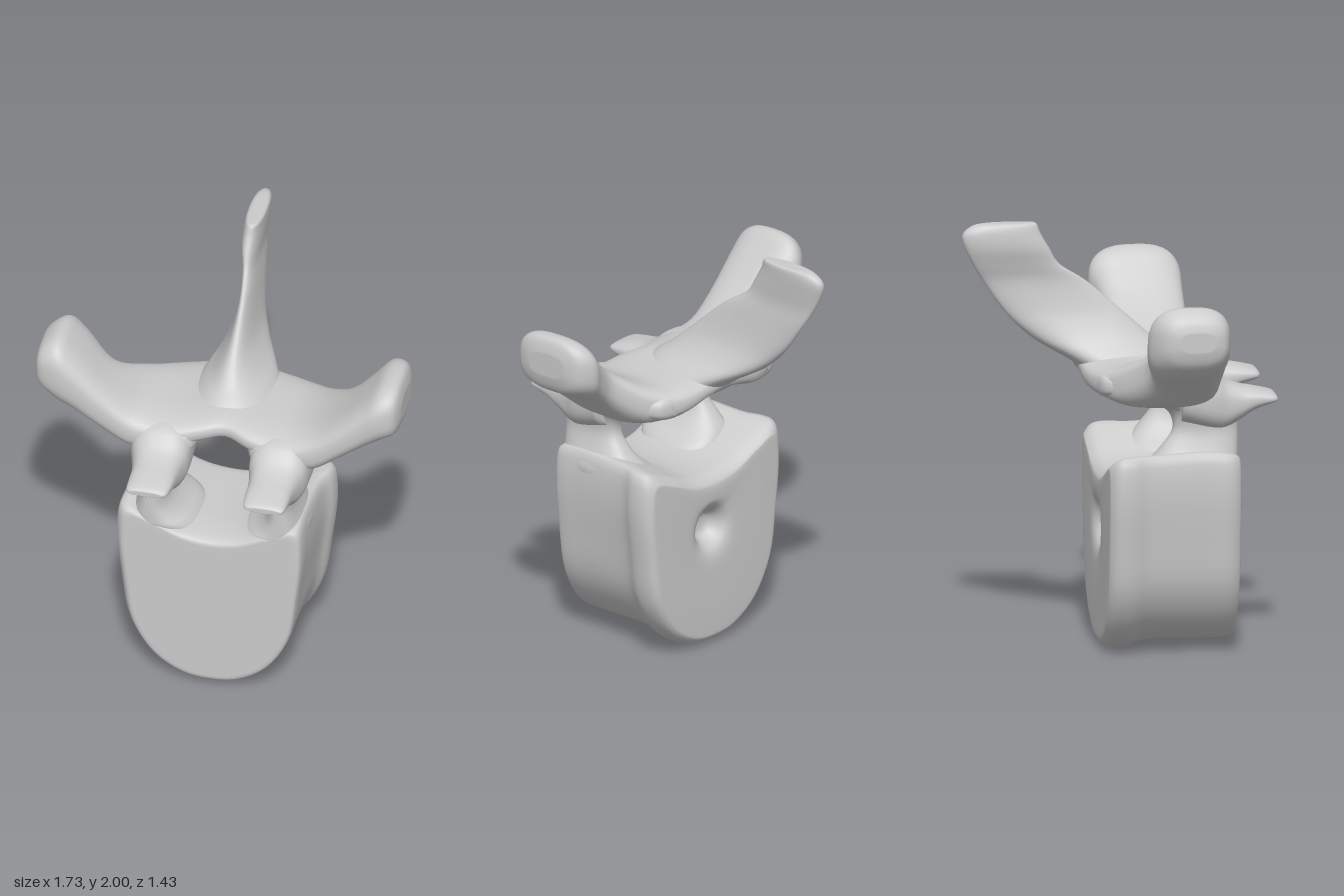
import * as THREE from 'three';

const MID = 0.02; // the paired parts mirror about this x
const material = new THREE.MeshStandardMaterial({ color: 0xcccccc });

// Smooth value between b and c
function spline(a, b, c, d, t) {
  return b + 0.5 * t * (c - a + t * (2 * a - 5 * b + 4 * c - d + t * (3 * (b - c) + d - a)));
}

// Rounded box outline, spanning -1..1 both ways
function roundedOutline(power, count = 40) {
  return Array.from({ length: count }, (_, i) => {
    const angle = (i / count) * Math.PI * 2;
    const curve = (v) => Math.sign(v) * Math.abs(v) ** (2 / power);
    return [curve(Math.cos(angle)), curve(Math.sin(angle))];
  });
}

// Skin over cross-sections [t, a0, a1, b0, b1, round]; t runs along the axis,
// a and b along the two that follow it in x, y, z order; round 1 gives a circle
function loft(name, axis, rows, outline = roundedOutline(2.6), steps = 4) {
  const rings = [];
  const row = (i) => rows[Math.min(Math.max(i, 0), rows.length - 1)];
  for (let i = 0; i < rows.length - 1; i++) {
    for (let s = 0; s < steps; s++) {
      rings.push(row(i).map((v, k) =>
        spline(row(i - 1)[k], v, row(i + 1)[k], row(i + 2)[k], s / steps)));
    }
  }
  rings.push(rows[rows.length - 1]);

  // Close both ends with shrinking rings
  const shrink = ([t, a0, a1, b0, b1, round], f) => {
    const a = (a0 + a1) / 2, b = (b0 + b1) / 2;
    return [t, a + (a0 - a) * f, a + (a1 - a) * f, b + (b0 - b) * f, b + (b1 - b) * f, round];
  };
  const first = rings[0], last = rings[rings.length - 1];
  rings.unshift(shrink(first, 0), shrink(first, 0.88));
  rings.push(shrink(last, 0.88), shrink(last, 0));

  const positions = [], index = [], n = outline.length;
  rings.forEach(([t, a0, a1, b0, b1, round = 0], r) => {
    outline.forEach(([u, v], k) => {
      const scale = 1 + round * (1 / Math.hypot(u, v) - 1);
      const p = [0, 0, 0];
      p[axis] = t;
      p[(axis + 1) % 3] = (a0 + a1) / 2 + (u * scale * (a1 - a0)) / 2;
      p[(axis + 2) % 3] = (b0 + b1) / 2 + (v * scale * (b1 - b0)) / 2;
      positions.push(...p);
      if (r === rings.length - 1) return;
      const i = r * n + k, j = r * n + ((k + 1) % n);
      index.push(i, j, j + n, i, j + n, i + n);
    });
  });
  const geometry = new THREE.BufferGeometry();
  geometry.setAttribute('position', new THREE.Float32BufferAttribute(positions, 3));
  geometry.setIndex(index);
  geometry.computeVertexNormals();
  const mesh = new THREE.Mesh(geometry, material);
  mesh.name = name;
  return mesh;
}

// Left and right copies; xAt is the column holding the smaller x
function pair(name, axis, rows, xAt) {
  const place = (side) => rows.map((row) => {
    const out = [...row];
    const x0 = row[xAt], x1 = row[xAt + 1];
    out[xAt] = MID + (side > 0 ? x0 : -x1);
    out[xAt + 1] = MID + (side > 0 ? x1 : -x0);
    return out;
  });
  return [loft('left' + name, axis, place(1)), loft('right' + name, axis, place(-1))];
}

// Body outline: round below, raised corners and a hollow on top
function bodyOutline() {
  const half = [[0.3, -0.96], [0.62, -0.77], [0.86, -0.4], [0.95, 0.1],
    [1, 0.7], [0.94, 0.96], [0.65, 0.88], [0.32, 0.75]];
  const points = [[0, -1], ...half, [0, 0.71],
    ...half.map(([x, y]) => [-x, y]).reverse()];
  const curve = new THREE.CatmullRomCurve3(
    points.map(([x, y]) => new THREE.Vector3(x, y, 0)), true);
  return curve.getPoints(72).slice(0, 72).map((p) => [p.x, p.y]);
}

export function createModel() {
  const model = new THREE.Group();
  model.name = 'vertebra';

  // Body, with a round pit in its back face
  model.add(loft('body', 2, [
    [0.01, 0.02, 0.02, 0.57, 0.57, 1],
    [0.0, -0.03, 0.07, 0.52, 0.62, 1],
    [-0.05, -0.07, 0.11, 0.48, 0.66, 1],
    [-0.08, -0.11, 0.15, 0.43, 0.7, 0.9],
    [-0.088, -0.2, 0.22, 0.32, 0.76, 0.5],
    [-0.088, -0.4, 0.4, 0.08, 0.89, 0],
    [-0.08, -0.45, 0.45, 0.03, 0.93, 0],
    [-0.04, -0.485, 0.475, 0.005, 0.97, 0],
    [0.03, -0.48, 0.475, 0, 0.98, 0],
    [0.12, -0.455, 0.445, 0.03, 0.98, 0],
    [0.35, -0.445, 0.435, 0.03, 0.99, 0],
    [0.47, -0.45, 0.435, 0.03, 0.98, 0],
    [0.52, -0.425, 0.425, 0.035, 0.96, 0],
    [0.53, -0.4, 0.4, 0.06, 0.93, 0],
  ], bodyOutline()));

  // Pedicles beside the round canal, spreading into the body and the arch
  model.add(...pair('Pedicle', 1, [
    [0.8, 0.1, 0.48, 0.06, 0.4],
    [0.87, 0.1, 0.525, 0.12, 0.415],
    [0.92, 0.12, 0.53, 0.18, 0.41],
    [0.98, 0.17, 0.53, 0.225, 0.385],
    [1.06, 0.225, 0.53, 0.242, 0.365],
    [1.14, 0.21, 0.53, 0.23, 0.375],
    [1.2, 0.13, 0.51, 0.185, 0.4],
    [1.25, 0.08, 0.46, 0.12, 0.43],
    [1.32, 0.05, 0.42, 0.1, 0.44],
  ], 3));

  // Lamina and both transverse processes in one sweep
  model.add(loft('archAndTransverseProcesses', 0, [
    [-0.865, 1.53, 1.63, 0.17, 0.35],
    [-0.84, 1.46, 1.69, 0.11, 0.4],
    [-0.76, 1.39, 1.73, 0.05, 0.425],
    [-0.68, 1.35, 1.66, 0.05, 0.425],
    [-0.55, 1.27, 1.52, 0.08, 0.42],
    [-0.42, 1.19, 1.42, -0.06, 0.42],
    [-0.32, 1.2, 1.385, -0.13, 0.42],
    [-0.2, 1.22, 1.38, -0.17, 0.41],
    [-0.08, 1.255, 1.395, -0.18, 0.38],
    [0.03, 1.275, 1.405, -0.18, 0.35],
    [0.14, 1.255, 1.39, -0.17, 0.39],
    [0.25, 1.22, 1.38, -0.16, 0.41],
    [0.35, 1.2, 1.385, -0.13, 0.42],
    [0.46, 1.2, 1.43, -0.06, 0.42],
    [0.58, 1.29, 1.52, 0.03, 0.42],
    [0.68, 1.36, 1.62, 0.02, 0.42],
    [0.76, 1.41, 1.7, -0.01, 0.42],
    [0.835, 1.45, 1.705, 0.03, 0.39],
    [0.86, 1.52, 1.64, 0.1, 0.32],
  ], roundedOutline(2.8)));

  // Articular lips tapering forward out of the arch
  model.add(...pair('FrontArticularProcess', 2, [
    [0.26, 0.14, 0.43, 1.1, 1.37],
    [0.4, 0.14, 0.42, 1.06, 1.35],
    [0.47, 0.155, 0.4, 1.06, 1.29],
    [0.54, 0.165, 0.385, 1.1, 1.26],
    [0.61, 0.17, 0.38, 1.145, 1.245],
    [0.69, 0.18, 0.375, 1.175, 1.225],
    [0.71, 0.2, 0.36, 1.185, 1.21],
  ], 1));

  // Lower articular pads behind
  model.add(...pair('BackArticularProcess', 2, [
    [-0.13, 0.2, 0.34, 1.25, 1.32],
    [-0.1, 0.16, 0.41, 1.23, 1.35],
    [0, 0.17, 0.45, 1.22, 1.36],
    [0.12, 0.18, 0.43, 1.2, 1.36],
    [0.25, 0.2, 0.4, 1.14, 1.35],
  ], 1));

  // Spinous process, a thin blade flaring into the lamina
  model.add(loft('spinousProcess', 1, [
    [1.28, -0.14, 0.3, -0.22, 0.25],
    [1.34, -0.2, 0.29, -0.2, 0.22],
    [1.4, -0.3, 0.24, -0.15, 0.165],
    [1.45, -0.38, 0.17, -0.11, 0.115],
    [1.52, -0.46, 0.09, -0.075, 0.07],
    [1.6, -0.53, 0.0, -0.05, 0.045],
    [1.72, -0.61, -0.14, -0.035, 0.025],
    [1.8, -0.66, -0.26, -0.05, 0.015],
    [1.88, -0.7, -0.31, -0.07, 0.02],
    [1.95, -0.715, -0.35, -0.07, 0.025],
    [1.99, -0.67, -0.365, -0.06, 0.025],
    [2.0, -0.62, -0.38, -0.045, 0.015],
  ], roundedOutline(2.3)));

  return model;
}
